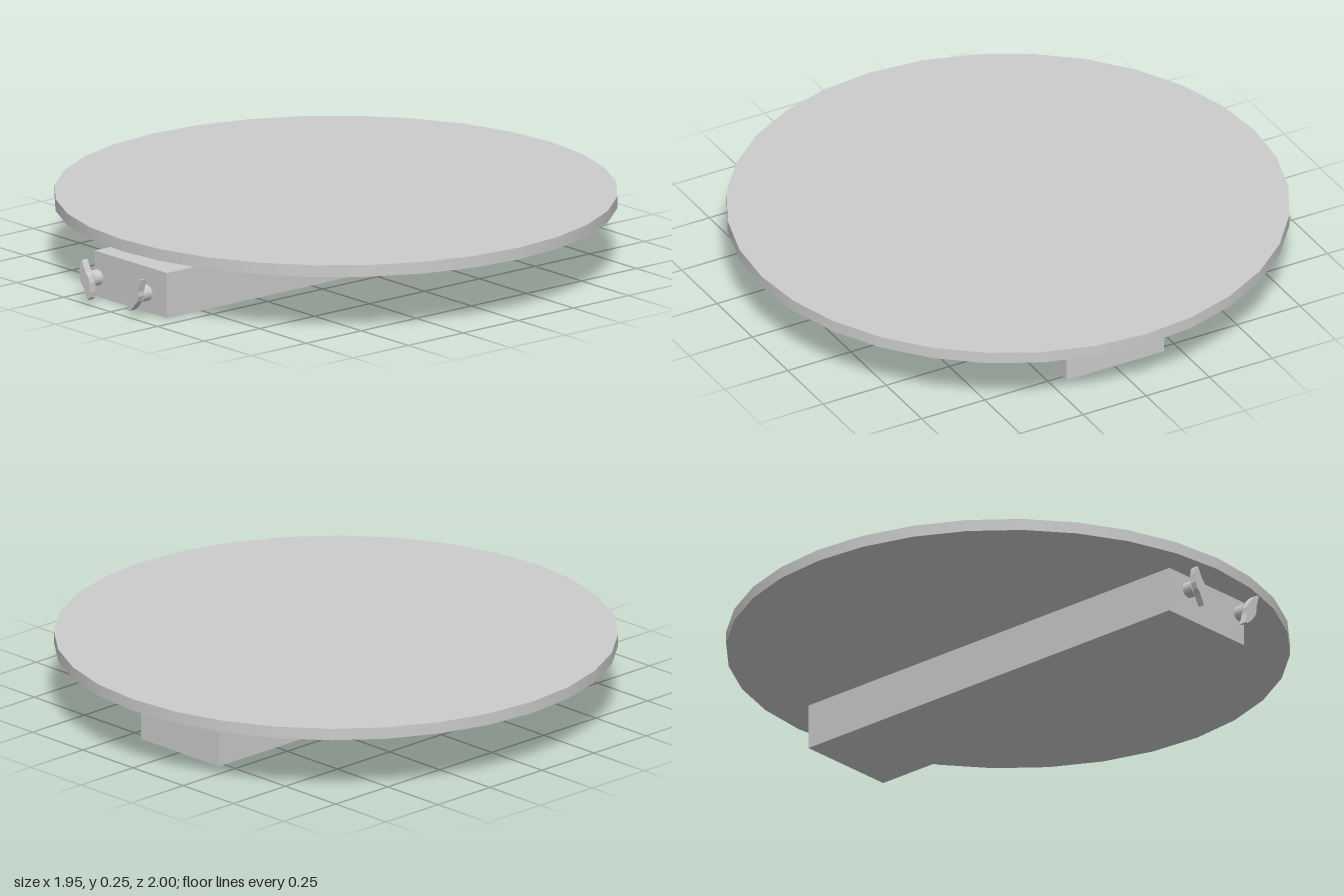
import * as THREE from 'three';

const material = new THREE.MeshStandardMaterial({ color: 0xcccccc });

function part(name, geometry, x, y, z) {
  const mesh = new THREE.Mesh(geometry, material);
  mesh.name = name;
  mesh.position.set(x, y, z);
  return mesh;
}

// Half of the S-shaped grip outline; the other half is its point mirror
const gripHalf = [[-0.016, 0.069], [-0.024, 0.06], [-0.027, 0.04], [-0.026, 0.005], [-0.018, -0.016], [-0.006, -0.028]];

function knob(name, x, turn) {
  const group = new THREE.Group();
  group.name = name;

  // Round stem, facing the base
  const stem = new THREE.CylinderGeometry(0.028, 0.028, 0.037, 16).rotateX(Math.PI / 2);
  group.add(part('knobStem', stem, 0, 0, 0.0185));

  // Flat two-winged grip
  const outline = [...gripHalf, ...gripHalf.map(([a, b]) => [-a, -b])];
  const shape = new THREE.Shape(outline.map(([a, b]) => new THREE.Vector2(a, b)));
  const grip = new THREE.ExtrudeGeometry(shape, { depth: 0.026, bevelEnabled: false });
  group.add(part('knobGrip', grip, 0, 0, 0.034));

  group.position.set(x, 0.085, 0.94);
  group.rotation.z = turn;
  return group;
}

export function createModel() {
  const model = new THREE.Group();
  model.name = 'turntable';

  // Round top plate, floating just above the base
  model.add(part('topPlate', new THREE.CylinderGeometry(0.976, 0.976, 0.042, 32), 0, 0.231, -0.024));

  // Long base box
  model.add(part('baseBox', new THREE.BoxGeometry(0.386, 0.162, 1.682), -0.003, 0.081, 0.064));

  // Two knobs in front of the base, turned to different settings
  model.add(knob('rightKnob', -0.138, 0));
  model.add(knob('leftKnob', 0.125, -0.75));
  return model;
}
